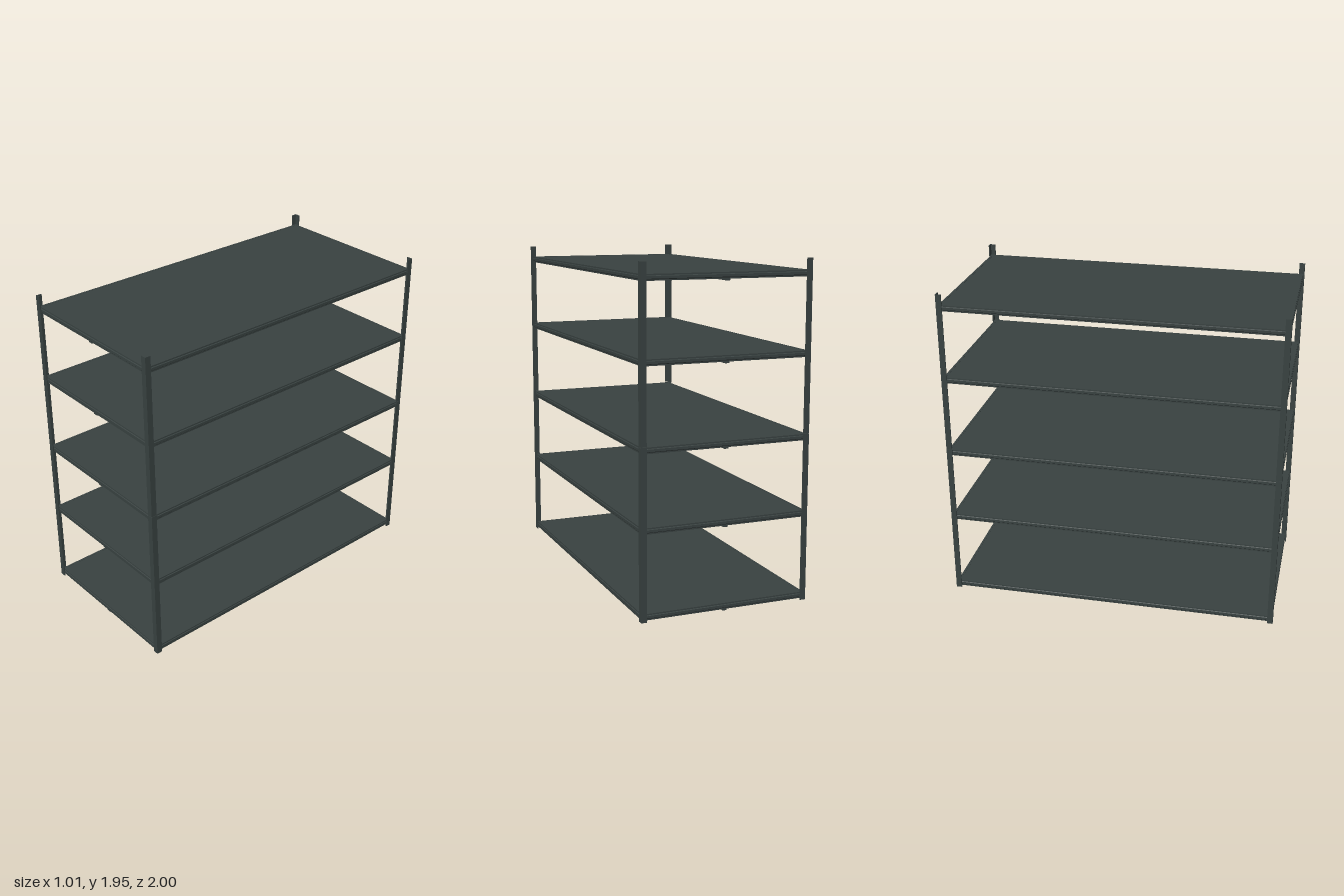
import * as THREE from 'three';

const W = 0.505, D = 1.0, H = 1.945;       // half width, half depth, height
const WALL = 0.006, FLANGE = 0.034;        // angle-iron posts
const SHELF_TOPS = [0.045, 0.527, 0.968, 1.437, 1.88];
const BEAM_H = 0.036;

const material = new THREE.MeshStandardMaterial({ color: 0x394241, roughness: 0.7, side: THREE.DoubleSide });

function mesh(geometry, name) {
  const m = new THREE.Mesh(geometry, material);
  m.name = name;
  return m;
}

// Extrude a closed outline along z, centred on z = 0.
function extrude(points, length) {
  const shape = new THREE.Shape(points.map(([x, y]) => new THREE.Vector2(x, y)));
  return new THREE.ExtrudeGeometry(shape, { depth: length, bevelEnabled: false }).translate(0, 0, -length / 2);
}

// L-section upright in two stacked lengths, its corner facing outwards.
function post(sx, sz) {
  const outline = [[0, 0], [FLANGE, 0], [FLANGE, WALL], [WALL, WALL], [WALL, FLANGE], [0, FLANGE]]
    .map(([a, b]) => [sx * (W - a), -sz * (D - b)]);
  if (sx * sz > 0) outline.reverse();
  const g = new THREE.Group();
  g.name = 'cornerPost';
  const joint = 0.972, gap = 0.002;
  for (const [y0, y1] of [[0, joint - gap], [joint, H]]) {
    const part = mesh(extrude(outline, y1 - y0).rotateX(-Math.PI / 2), 'postLength');
    part.position.y = (y0 + y1) / 2;
    g.add(part);
  }
  return g;
}

// Channel beam with a raised band on its outer face; x = 0 is the outside.
function beam(length) {
  const h = BEAM_H, t = 0.005, lip = 0.018;
  return extrude([
    [-lip, -h], [-0.004, -h], [-0.004, -h + 0.007], [0, -h + 0.011], [0, -0.011],
    [-0.004, -0.008], [-0.004, 0], [-lip, 0], [-lip, -t],
    [-0.009, -t], [-0.009, -h + t], [-lip, -h + t],
  ], length);
}

// Flat-topped deck with trapezoid ribs underneath, running across the width.
function ribbedDeck() {
  const half = D - 0.016, n = 24, pitch = 2 * half / n, thin = -0.006, deep = -0.022;
  const outline = [[-half, 0], [-half, thin]];
  for (let i = 0; i < n; i++) {
    const z = -half + i * pitch;
    outline.push([z + pitch * 0.2, thin], [z + pitch * 0.35, deep], [z + pitch * 0.65, deep], [z + pitch * 0.8, thin]);
  }
  outline.push([half, thin], [half, 0]);
  return extrude(outline, 2 * (W - 0.016)).rotateY(Math.PI / 2);
}

function shelf(top) {
  const g = new THREE.Group();
  g.name = 'shelf';
  g.position.y = top;
  const deck = mesh(ribbedDeck(), 'ribbedDeck');
  deck.position.y = -0.001;
  g.add(deck);

  for (const s of [1, -1]) {
    const side = mesh(beam(2 * (D - WALL)), 'sideBeam');
    side.position.x = s * (W - WALL);
    side.rotation.y = s > 0 ? 0 : Math.PI;
    const end = mesh(beam(2 * (W - WALL)), 'endBeam');
    end.position.z = s * (D - WALL);
    end.rotation.y = -s * Math.PI / 2;
    g.add(side, end);
  }

  // Stiffener under the middle of the deck
  const rail = mesh(new THREE.BoxGeometry(0.026, 0.022, 2 * (D - 0.012)), 'centreRail');
  rail.position.y = -0.034;
  g.add(rail);
  return g;
}

export function createModel() {
  const model = new THREE.Group();
  model.name = 'shelvingUnit';
  for (const sx of [-1, 1]) for (const sz of [-1, 1]) model.add(post(sx, sz));
  for (const top of SHELF_TOPS) model.add(shelf(top));
  return model;
}
